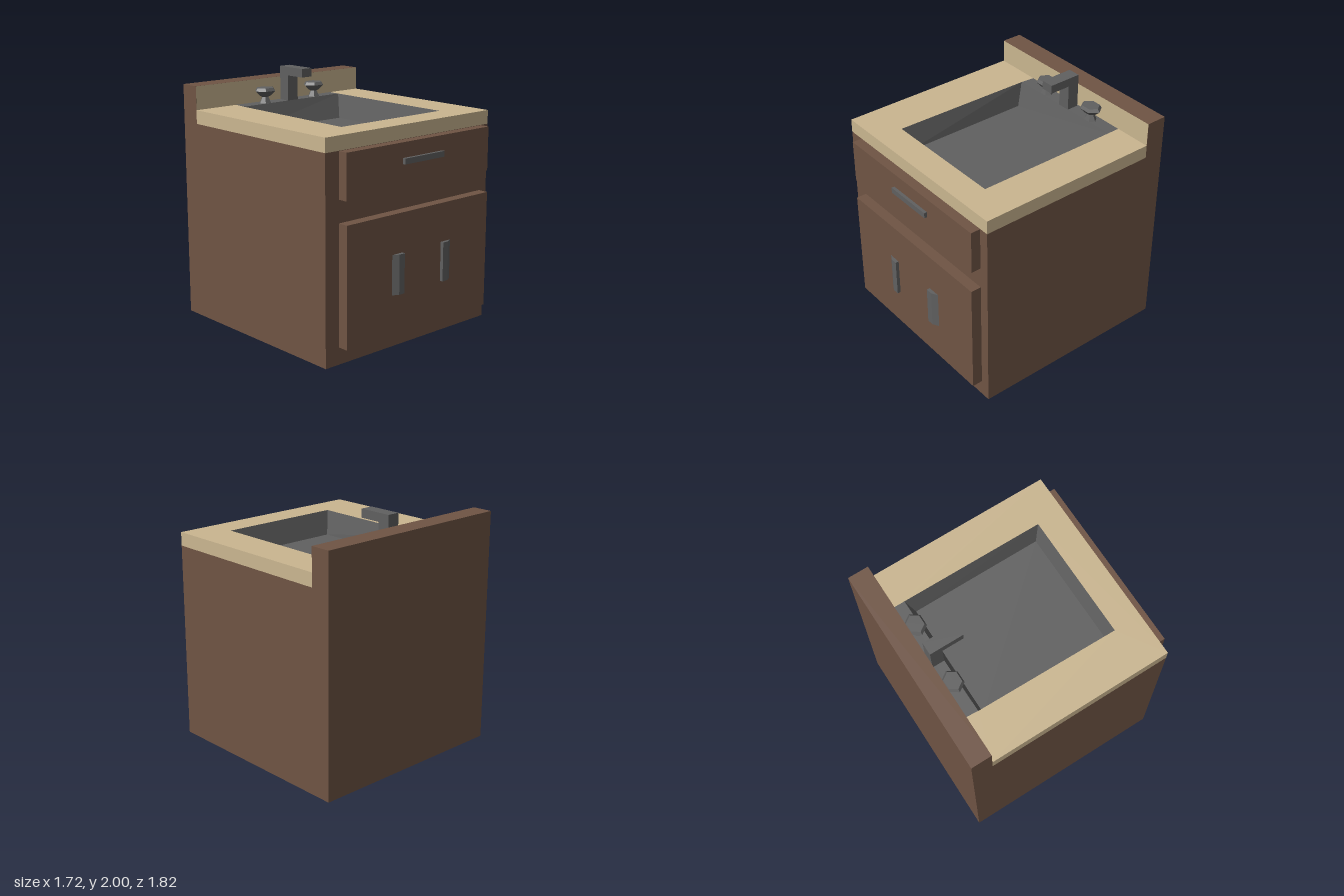
import * as THREE from 'three';

const mat = (color) => new THREE.MeshStandardMaterial({ color, flatShading: true });

export function createModel() {
  const group = new THREE.Group();
  const wood = mat(0x6f5444), stone = mat(0xcab690), metal = mat(0x606060);
  const sinkMetal = mat(0x606060);
  sinkMetal.side = THREE.DoubleSide;

  const add = (name, geometry, material) => {
    const mesh = new THREE.Mesh(geometry, material);
    mesh.name = name;
    group.add(mesh);
    return mesh;
  };
  // Box given by its limits on each axis
  const box = (name, [x0, x1], [y0, y1], [z0, z1], material) => {
    const g = new THREE.BoxGeometry(x1 - x0, y1 - y0, z1 - z0);
    g.translate((x0 + x1) / 2, (y0 + y1) / 2, (z0 + z1) / 2);
    return add(name, g, material);
  };

  // Cabinet, left open at the top (third face of the box) so the basin can sink into it
  const cabinet = box('cabinet', [-0.86, 0.86], [0, 1.61], [-0.74, 0.8], wood).geometry;
  const faces = Array.from(cabinet.index.array);
  faces.splice(12, 6);
  cabinet.setIndex(faces);
  cabinet.clearGroups();

  // Back board with a stone face above the counter
  box('backBoard', [-0.86, 0.86], [0, 1.91], [-0.91, -0.74], wood);
  add('backsplash', new THREE.PlaneGeometry(1.72, 0.19).translate(0, 1.815, -0.738), stone);

  // Countertop: a U around the sink opening (shape y is -z)
  const top = new THREE.Shape([
    [-0.86, 0.74], [-0.86, -0.8], [0.86, -0.8], [0.86, 0.74],
    [0.55, 0.74], [0.55, 0.63], [0.545, -0.57], [-0.5, -0.57], [-0.48, 0.62], [-0.47, 0.74],
  ].map(([x, y]) => new THREE.Vector2(x, y)));
  const counter = new THREE.ExtrudeGeometry(top, { depth: 0.11, bevelEnabled: false });
  add('countertop', counter.rotateX(-Math.PI / 2).translate(0, 1.61, 0), stone);

  // Sink: rear ledge, sloping walls and floor
  const rimY = 1.72, floorY = 1.52;
  const rim = [[-0.48, -0.62], [-0.5, 0.57], [0.545, 0.57], [0.55, -0.63]].map(([x, z]) => [x, rimY, z]);
  const floor = [[-0.46, -0.57], [-0.46, 0.53], [0.51, 0.53], [0.51, -0.57]].map(([x, z]) => [x, floorY, z]);
  const positions = [];
  const quad = (a, b, c, d) => positions.push(...a, ...b, ...c, ...a, ...c, ...d);
  quad(...floor);
  for (let i = 0; i < 4; i++) {
    const j = (i + 1) % 4;
    quad(rim[i], floor[i], floor[j], rim[j]);
  }
  quad([-0.47, rimY, -0.74], rim[0], rim[3], [0.55, rimY, -0.74]);
  const sink = new THREE.BufferGeometry();
  sink.setAttribute('position', new THREE.Float32BufferAttribute(positions, 3));
  sink.computeVertexNormals();
  add('sink', sink, sinkMetal);

  // Drawer and door fronts
  box('drawerFront', [-0.73, 0.78], [1.255, 1.608], [0.8, 0.88], wood);
  box('doorFront', [-0.73, 0.78], [0.135, 1.08], [0.8, 0.886], wood);
  box('drawerHandle', [-0.17, 0.25], [1.445, 1.49], [0.88, 0.905], metal);

  // Door handles, chamfered on the outer side
  const grip = (name, outline) => {
    const s = new THREE.Shape(outline.map(([x, z]) => new THREE.Vector2(x, -z)));
    const g = new THREE.ExtrudeGeometry(s, { depth: 0.315, bevelEnabled: false });
    add(name, g.rotateX(-Math.PI / 2).translate(0, 0.455, 0), metal);
  };
  grip('rightDoorHandle', [[-0.275, 0.886], [-0.225, 0.914], [-0.17, 0.914], [-0.17, 0.886]]);
  grip('leftDoorHandle', [[0.355, 0.886], [0.305, 0.914], [0.25, 0.914], [0.25, 0.886]]);

  // Faucet: upright and spout as one bent bar (shape x is z)
  const bar = new THREE.Shape([
    [-0.725, 1.72], [-0.625, 1.72], [-0.625, 1.93], [-0.445, 1.93], [-0.445, 2], [-0.725, 2],
  ].map(([z, y]) => new THREE.Vector2(-z, y)));
  const faucet = new THREE.ExtrudeGeometry(bar, { depth: 0.105, bevelEnabled: false });
  add('faucet', faucet.rotateY(Math.PI / 2).translate(-0.015, 0, 0), metal);

  // Six-sided tap knobs
  const profile = [[0.055, 0], [0.03, 0.05], [0.055, 0.062], [0.097, 0.1], [0.078, 0.125], [0, 0.125]]
    .map(([r, y]) => new THREE.Vector2(r, y));
  for (const [name, x] of [['rightTap', -0.22], ['leftTap', 0.305]]) {
    const g = new THREE.LatheGeometry(profile, 6, Math.PI / 2);
    add(name, g.scale(1, 1, 0.83).translate(x, 1.72, -0.67), metal);
  }
  return group;
}
